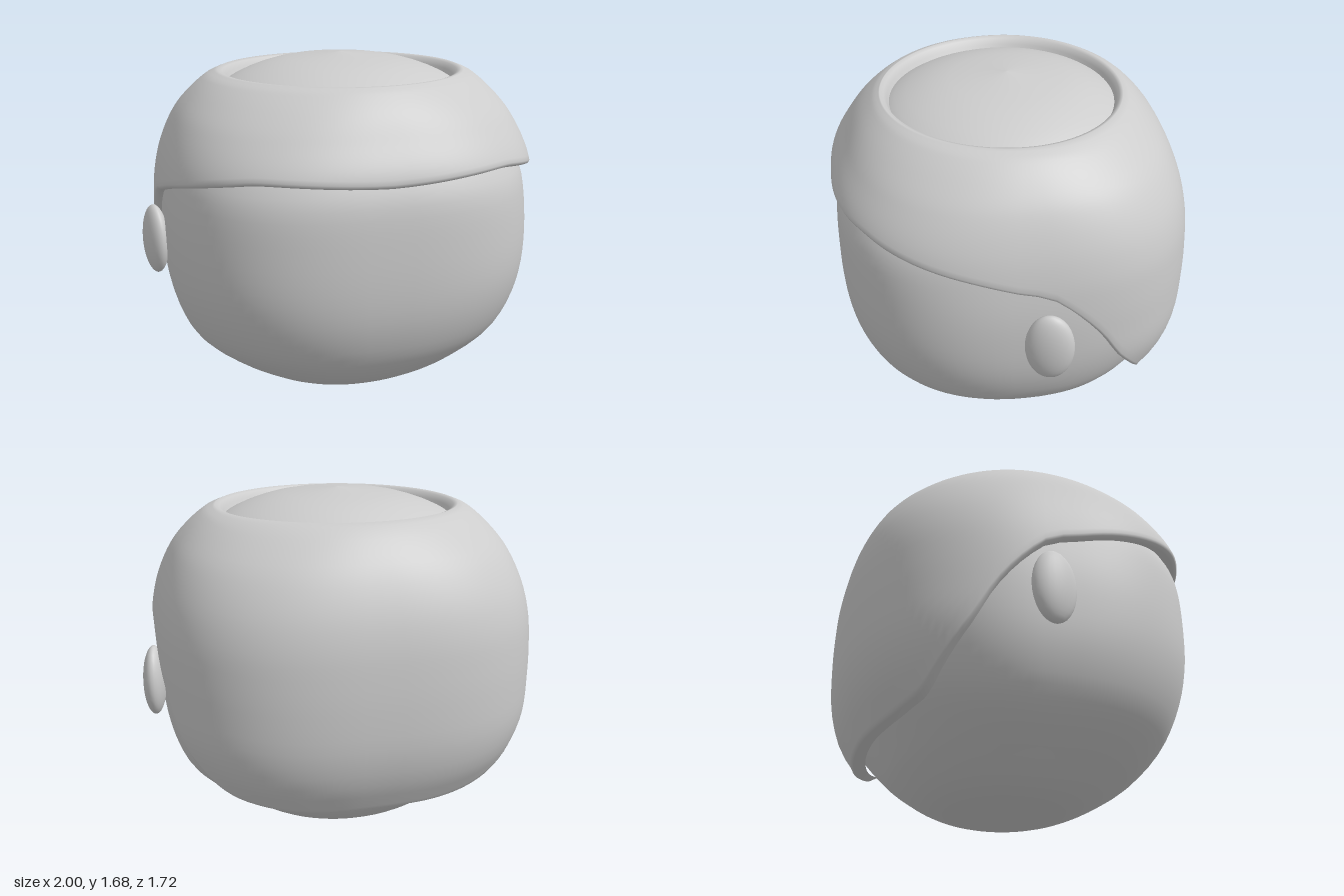
import * as THREE from 'three';

// Smooth (cubic Hermite) interpolation of rows [key, a, b, ...] with ascending keys.
function sample(rows, k) {
  const last = rows.length - 1;
  k = Math.min(Math.max(k, rows[0][0]), rows[last][0]);
  let i = 0;
  while (i < last - 1 && k > rows[i + 1][0]) i++;
  const h = rows[i + 1][0] - rows[i][0];
  const s = (k - rows[i][0]) / h;
  const slope = (j, c) => {
    const a = rows[Math.max(j - 1, 0)], b = rows[Math.min(j + 1, last)];
    return (b[c] - a[c]) / (b[0] - a[0]);
  };
  return rows[0].slice(1).map((_, n) => {
    const c = n + 1, p = rows[i][c], q = rows[i + 1][c];
    return p + (q - p) * s * s * (3 - 2 * s)
      + h * slope(i, c) * s * (1 - s) * (1 - s) - h * slope(i + 1, c) * s * s * (1 - s);
  });
}

// Point on a rounded-square section: half width, front depth, back depth, roundness.
function sectionPoint([w, front, back, n], t, y) {
  const bend = (v) => Math.sign(v) * Math.pow(Math.abs(v), 2 / n);
  const c = Math.cos(t);
  return [w * bend(Math.sin(t)), y, (c > 0 ? front : back) * bend(c)];
}

// Skin built from closed loops, listed from the top down; point(t, row) gives each corner.
function loft(rowCount, around, point) {
  const pos = [], idx = [];
  for (let j = 0; j < rowCount; j++) {
    for (let i = 0; i < around; i++) {
      pos.push(...point((i / around) * Math.PI * 2, j));
      if (j === rowCount - 1) continue;
      const a = j * around + i, b = j * around + (i + 1) % around;
      idx.push(a, a + around, b, b, a + around, b + around);
    }
  }
  const g = new THREE.BufferGeometry();
  g.setAttribute('position', new THREE.Float32BufferAttribute(pos, 3));
  g.setIndex(idx);
  g.computeVertexNormals();
  return g;
}

// Sections: height, half width, front depth, back depth, roundness
const HEAD = [
  [0, 0, 0, 0, 2], [0.006, 0.19, 0.17, 0.17, 2], [0.05, 0.38, 0.36, 0.36, 2.05],
  [0.17, 0.585, 0.585, 0.54, 2.15], [0.25, 0.70, 0.68, 0.61, 2.2], [0.33, 0.785, 0.745, 0.67, 2.3],
  [0.42, 0.835, 0.79, 0.73, 2.4], [0.55, 0.875, 0.83, 0.77, 2.5], [0.7, 0.893, 0.85, 0.8, 2.6],
  [0.9, 0.895, 0.855, 0.81, 2.6], [1.1, 0.87, 0.845, 0.8, 2.6], [1.2, 0.845, 0.815, 0.77, 2.5],
  [1.35, 0.77, 0.73, 0.71, 2.3], [1.45, 0.68, 0.65, 0.63, 2.1], [1.54, 0.57, 0.575, 0.53, 2],
  [1.6, 0.45, 0.46, 0.43, 2], [1.65, 0.27, 0.28, 0.27, 2], [1.68, 0, 0, 0, 2],
];
const HAIR = [
  [0.27, 0.76, 0.7, 0.72, 2.4], [0.35, 0.82, 0.76, 0.77, 2.5], [0.45, 0.87, 0.82, 0.815, 2.6],
  [0.6, 0.92, 0.87, 0.85, 2.6], [0.8, 0.932, 0.875, 0.86, 2.6], [0.95, 0.932, 0.875, 0.857, 2.6],
  [1.1, 0.92, 0.872, 0.845, 2.6], [1.25, 0.885, 0.855, 0.81, 2.55], [1.4, 0.82, 0.775, 0.745, 2.4],
  [1.5, 0.745, 0.71, 0.675, 2.2], [1.58, 0.655, 0.635, 0.595, 2.05], [1.603, 0.6, 0.6, 0.55, 2],
];
// Inner lip of the crown opening
const LIP = [[1.52, 0.535, 0.545, 0.495, 2], [1.57, 0.56, 0.568, 0.52, 2], [1.596, 0.578, 0.582, 0.532, 2]];
// Height of the hairline: degrees from the front, height
const HAIRLINE = [
  [0, 1.2], [25, 1.22], [40, 1.215], [73, 1.13], [90, 1.04], [96, 0.95], [105, 0.78],
  [113, 0.6], [129, 0.375], [143, 0.31], [160, 0.285], [180, 0.285],
];

export function createModel() {
  const model = new THREE.Group();
  model.name = 'headWithHair';
  const grey = new THREE.MeshStandardMaterial({ color: 0xcccccc });
  grey.name = 'light grey';
  const add = (name, geometry) => {
    const mesh = new THREE.Mesh(geometry, grey);
    mesh.name = name;
    model.add(mesh);
    return mesh;
  };

  // Head
  const headRows = 49;
  add('head', loft(headRows, 96, (t, j) => {
    const y = 0.84 + 0.84 * Math.cos((j / (headRows - 1)) * Math.PI);
    return sectionPoint(sample(HEAD, y), t, y);
  }));

  // Hair: lip of the crown opening, outer sweep, then the rounded edge tucked into the head
  const sweep = 28;
  add('hair', loft(LIP.length + sweep + 3, 128, (t, j) => {
    if (j < LIP.length) return sectionPoint(LIP[j].slice(1), t, LIP[j][0]);
    const deg = THREE.MathUtils.radToDeg(t);
    const edge = sample(HAIRLINE, deg > 180 ? 360 - deg : deg)[0];
    const k = j - LIP.length;
    const v = Math.min(k / (sweep - 1), 1);
    const y = 1.603 + (edge + 0.022 - 1.603) * Math.pow(v, 1.4);
    const p = sectionPoint(sample(HAIR, y), t, y);
    const [scale, drop] = [[1, 0], [0.994, 0.014], [0.975, 0.022], [0.9, 0.008]][Math.max(k - sweep + 1, 0)];
    return [p[0] * scale, y - drop, p[2] * scale];
  }));

  // Ears, flaring out towards the back
  for (const side of [1, -1]) {
    const ear = add(side > 0 ? 'leftEar' : 'rightEar', new THREE.SphereGeometry(1, 24, 16));
    ear.scale.set(0.055, 0.175, 0.112);
    ear.position.set(side * 0.939, 0.775, -0.055);
    ear.rotation.y = -side * 0.25;
  }
  return model;
}
